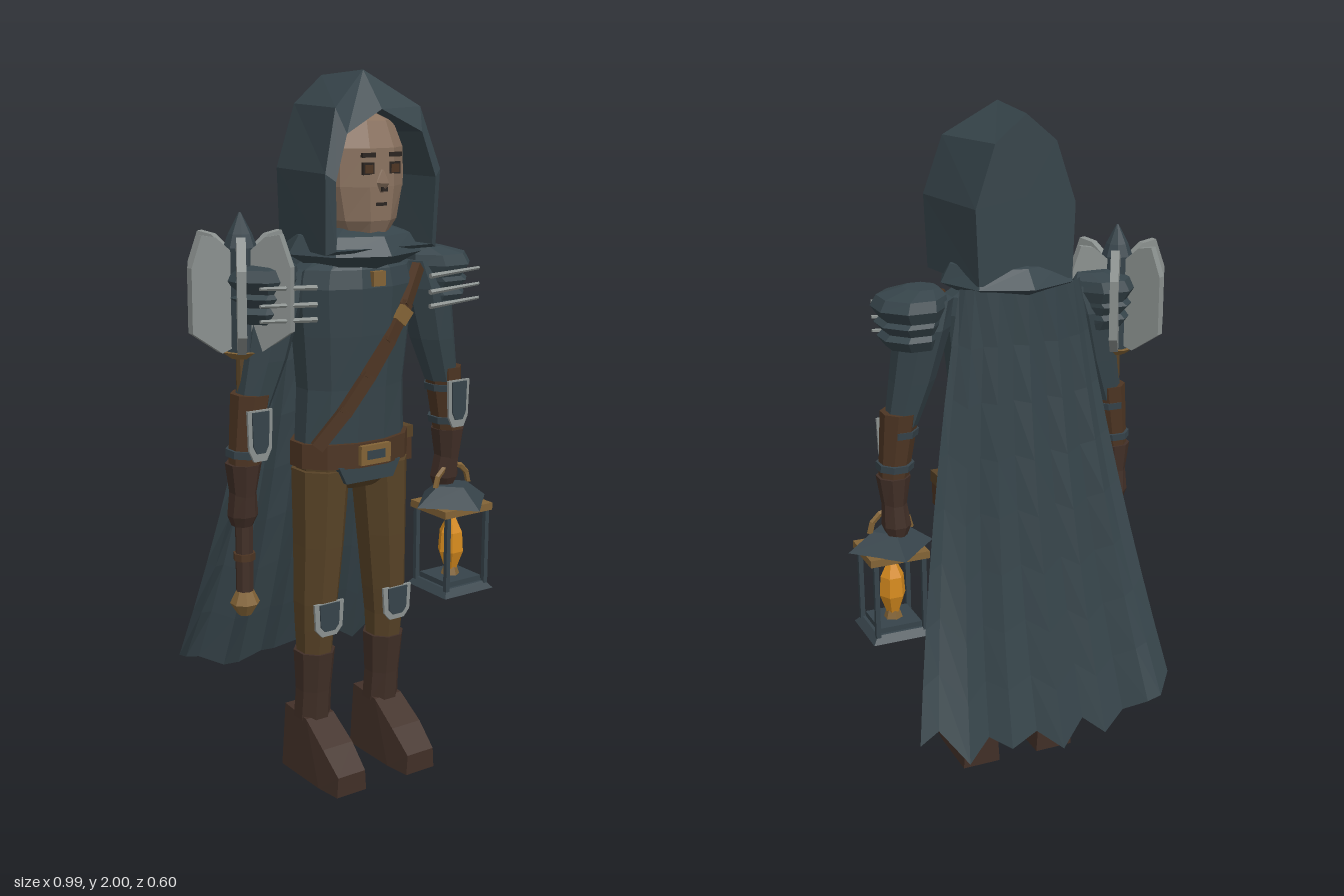
import * as THREE from 'three';

const mat = (name, color, side = THREE.FrontSide) => {
  const m = new THREE.MeshStandardMaterial({ color, side });
  m.name = name;
  return m;
};

export function createModel() {
  const root = new THREE.Group();
  const cloth = mat('slate cloth', 0x36444a, THREE.DoubleSide);
  const iron = mat('dark iron', 0x36434a);
  const trousers = mat('olive trousers', 0x574226);
  const boot = mat('boot leather', 0x412f27);
  const leather = mat('glove leather', 0x4d3523);
  const brass = mat('brass', 0x826336);
  const skin = mat('skin', 0x8a725f);
  const steel = mat('steel', 0x8b918f);
  const glow = mat('amber flame', 0xd58a1e);
  const dark = mat('dark features', 0x2a2420);

  // Faceted mesh: unshared vertices give flat normals
  const add = (name, geo, material, parent = root) => {
    const g = geo.index ? geo.toNonIndexed() : geo;
    g.computeVertexNormals();
    const mesh = new THREE.Mesh(g, material);
    mesh.name = name;
    parent.add(mesh);
    return mesh;
  };
  const box = (name, w, h, d, x, y, z, m, parent) =>
    add(name, new THREE.BoxGeometry(w, h, d).translate(x, y, z), m, parent);
  const cyl = (name, rt, rb, h, n, x, y, z, m, parent) =>
    add(name, new THREE.CylinderGeometry(rt, rb, h, n).translate(x, y, z), m, parent);
  const outline = (points) => new THREE.Shape(points.map((p) => new THREE.Vector2(...p)));

  // Closed skin over point rings, counter-clockwise as seen from the last ring
  const loft = (rings) => {
    const n = rings[0].length, pos = [];
    const tri = (...p) => p.forEach((q) => pos.push(...q));
    const mid = (r) => [0, 1, 2].map((k) => r.reduce((s, p) => s + p[k], 0) / n);
    const first = rings[0], last = rings[rings.length - 1];
    for (let i = 0; i < n; i++) {
      const j = (i + 1) % n;
      for (let r = 0; r < rings.length - 1; r++) {
        const a = rings[r], b = rings[r + 1];
        tri(a[i], a[j], b[j]);
        tri(a[i], b[j], b[i]);
      }
      tri(mid(first), first[j], first[i]);
      tri(mid(last), last[i], last[j]);
    }
    return new THREE.BufferGeometry().setAttribute('position', new THREE.Float32BufferAttribute(pos, 3));
  };
  // Limb or trunk from rows of [y, centreX, centreZ, radiusX, radiusZ], bottom to top
  const body = (name, rows, m, n = 8, parent = root, turn = 0.5) =>
    add(name, loft(rows.map(([y, cx, cz, rx, rz]) => Array.from({ length: n }, (_, i) => {
      const a = ((i + turn) / n) * Math.PI * 2;
      return [cx + rx * Math.sin(a), y, cz + rz * Math.cos(a)];
    }))), m, parent);

  // Forward-facing shield plate with a steel rim around sides and bottom
  const plate = (name, w, h, x, y, z) => {
    for (const [s, dz, m] of [[1, 0, steel], [0.68, 0.004, iron]]) {
      const a = w * s / 2, b = h * s / 2, top = h * (s === 1 ? 0.5 : 0.47);
      const shape = outline([[-a * 0.5, -b], [a * 0.5, -b], [a * 0.9, -b * 0.55], [a, top], [-a, top], [-a * 0.9, -b * 0.55]]);
      add(name + (s === 1 ? 'Rim' : ''),
        new THREE.ExtrudeGeometry(shape, { depth: 0.008, bevelEnabled: false }).translate(x, y, z + dz), m);
    }
  };

  // Tunic, collar, hips and belt
  body('tunic', [[0.93, 0, 0.11, 0.17, 0.1], [1.0, 0, 0.11, 0.175, 0.105], [1.15, 0, 0.112, 0.168, 0.112],
    [1.3, 0, 0.115, 0.183, 0.122], [1.43, 0, 0.115, 0.195, 0.128], [1.48, 0, 0.115, 0.18, 0.118],
    [1.52, 0, 0.115, 0.11, 0.09]], cloth, 12);
  body('collar', [[1.47, 0, 0.11, 0.11, 0.1], [1.52, 0, 0.105, 0.2, 0.195], [1.57, 0, 0.11, 0.17, 0.155],
    [1.59, 0, 0.11, 0.1, 0.1]], cloth, 8, root, 0);
  body('hips', [[0.86, 0, 0.11, 0.1, 0.07], [0.89, 0, 0.11, 0.165, 0.095], [0.94, 0, 0.11, 0.175, 0.1]], trousers, 12);
  body('belt', [[0.93, 0, 0.11, 0.188, 0.118], [1.0, 0, 0.11, 0.188, 0.118]], leather, 12);
  const hemShape = outline([[-0.08, 0.885], [0.08, 0.885], [0.105, 0.935], [-0.105, 0.935]]);
  add('tunicHem', new THREE.ExtrudeGeometry(hemShape, { depth: 0.03, bevelEnabled: false }).translate(0, 0, 0.18), cloth);
  box('buckle', 0.1, 0.055, 0.02, 0, 0.967, 0.228, brass);
  box('buckleCentre', 0.06, 0.025, 0.008, 0, 0.967, 0.236, iron);
  box('beltPouch', 0.07, 0.09, 0.08, 0.215, 0.925, 0.035, leather);
  box('pouchFlap', 0.076, 0.035, 0.086, 0.215, 0.965, 0.035, trousers);
  box('neckClasp', 0.04, 0.04, 0.02, 0, 1.455, 0.238, brass);

  // Chest strap following the curve of the tunic
  const strap = [0, 1, 2, 3, 4, 5].map((i) => {
    const x = 0.175 - i * 0.068;
    return new THREE.Vector3(x, 1.465 - i * 0.092, 0.116 + 0.122 * Math.sqrt(1 - (x / 0.215) ** 2));
  });
  for (let i = 0; i < 5; i++) {
    const len = strap[i].distanceTo(strap[i + 1]);
    const s = add('chestStrap', new THREE.BoxGeometry(0.024, 0.036, len + 0.012), leather);
    s.position.copy(strap[i]).lerp(strap[i + 1], 0.5);
    s.lookAt(strap[i + 1]);
  }
  const strapBuckle = add('strapBuckle', new THREE.BoxGeometry(0.045, 0.04, 0.02), brass);
  strapBuckle.position.set(0.088, 1.347, 0.236);
  strapBuckle.rotation.z = 0.9;

  // Head and face
  body('head', [[1.48, 0, 0.12, 0.06, 0.06], [1.555, 0, 0.14, 0.065, 0.09], [1.61, 0, 0.135, 0.105, 0.12],
    [1.7, 0, 0.13, 0.127, 0.13], [1.8, 0, 0.13, 0.127, 0.128], [1.87, 0, 0.13, 0.1, 0.1], [1.9, 0, 0.13, 0.05, 0.05]], skin, 10);
  for (const s of [-1, 1]) {
    box('ear', 0.02, 0.06, 0.04, s * 0.13, 1.72, 0.14, skin);
    box('eyeOutline', 0.036, 0.032, 0.008, s * 0.043, 1.748, 0.249, dark);
    box('eye', 0.026, 0.022, 0.008, s * 0.043, 1.747, 0.251, leather);
    box('brow', 0.042, 0.012, 0.01, s * 0.043, 1.783, 0.25, dark);
  }
  body('nose', [[1.685, 0, 0.25, 0.008, 0.008], [1.71, 0, 0.255, 0.018, 0.03], [1.745, 0, 0.248, 0.008, 0.008]], skin, 4, root, 0);
  box('nostrils', 0.018, 0.012, 0.008, 0, 1.694, 0.264, dark);
  box('mouth', 0.036, 0.009, 0.008, 0, 1.654, 0.248, dark);

  // Hood: arch sections from the flat back, over the lip and into the cavity
  const arch = (half) => [...half, ...half.slice(0, -1).reverse().map(([x, y, z]) => [-x, y, z])];
  add('hood', loft([
    arch([[0.14, 1.53, -0.03], [0.148, 1.74, -0.03], [0.09, 1.91, -0.03], [0, 1.985, -0.03]]),
    arch([[0.182, 1.53, 0.255], [0.188, 1.74, 0.262], [0.138, 1.905, 0.235], [0, 2.0, 0.165]]),
    arch([[0.158, 1.54, 0.27], [0.163, 1.72, 0.275], [0.122, 1.84, 0.265], [0, 1.9, 0.25]]),
    arch([[0.148, 1.54, 0.1], [0.154, 1.72, 0.1], [0.11, 1.835, 0.1], [0, 1.895, 0.1]]),
  ]), cloth);

  // Pleated cape: columns of [x, y, z] at the ragged hem
  const hem = [[-0.4, 0.32, -0.19], [-0.345, 0.28, -0.25], [-0.3, 0.27, -0.252], [-0.235, 0.24, -0.215],
    [-0.15, 0.21, -0.268], [-0.095, 0.25, -0.225], [0, 0.21, -0.3], [0.06, 0.25, -0.24], [0.15, 0.23, -0.272],
    [0.2, 0.25, -0.215], [0.275, 0.2, -0.255], [0.35, 0.3, -0.205], [0.41, 0.27, -0.215]];
  const ROWS = 8, COLS = hem.length - 1;
  const cape = new THREE.PlaneGeometry(1, 1, COLS, ROWS);
  for (let r = 0; r <= ROWS; r++) {
    hem.forEach(([x, y, z], c) => {
      const t = r / ROWS, a = (c / COLS - 0.5) * 2;
      const topX = 0.185 * Math.sin(a * 1.4), topZ = 0.02 - 0.065 * Math.cos(a * 1.4);
      const pleat = (c % 2 ? 0.012 : -0.006) * Math.sin(Math.PI * t);
      cape.attributes.position.setXYZ(r * (COLS + 1) + c, topX + (x - topX) * t, 1.52 + (y - 1.52) * t,
        topZ + (z - topZ) * t ** 1.9 + pleat);
    });
  }
  add('cape', cape, cloth);

  for (const s of [-1, 1]) {
    const side = s > 0 ? 'left' : 'right';
    const limb = (name, rows, m, n) => body(side + name, rows.map(([y, x, ...r]) => [y, s * x, ...r]), m, n);

    // Legs and boots
    limb('Trouser', [[0.36, 0.123, 0.112, 0.05, 0.056], [0.45, 0.123, 0.113, 0.055, 0.066], [0.53, 0.12, 0.115, 0.062, 0.073],
      [0.7, 0.11, 0.115, 0.071, 0.082], [0.92, 0.1, 0.112, 0.083, 0.09]], trousers);
    plate(side + 'KneePad', 0.1, 0.1, s * 0.12, 0.49, 0.176);
    limb('BootShaft', [[0.17, 0.123, 0.1, 0.054, 0.054], [0.26, 0.123, 0.107, 0.052, 0.054], [0.38, 0.123, 0.112, 0.06, 0.065]], boot);
    const sole = outline([[0.03, 0], [0.22, 0], [0.3, 0], [0.3, 0.06], [0.23, 0.12], [0.14, 0.18], [0.03, 0.19]]);
    const foot = new THREE.ExtrudeGeometry(sole, { depth: 0.12, bevelEnabled: false }).rotateY(-Math.PI / 2).translate(0.06, 0, 0);
    const fp = foot.attributes.position;
    for (let i = 0; i < fp.count; i++) {
      const toe = Math.max(0, fp.getZ(i) - 0.22) * 2;
      fp.setX(i, s * 0.123 + fp.getX(i) * (1 - fp.getY(i) * 1.1 - toe));
    }
    add(side + 'Boot', foot, boot);

    // Sleeves, bracers and gloves
    limb('Sleeve', [[1.12, 0.325, 0.115, 0.048, 0.052], [1.25, 0.288, 0.115, 0.066, 0.07], [1.4, 0.255, 0.112, 0.08, 0.085],
      [1.48, 0.225, 0.11, 0.06, 0.07]], cloth);
    limb('Bracer', [[0.95, 0.354, 0.115, 0.042, 0.046], [1.16, 0.328, 0.115, 0.056, 0.06]], leather);
    for (const y of [1.0, 1.1]) {
      limb('BracerBand', [[y - 0.01, 0.348 - (y - 1) * 0.16, 0.115, 0.054, 0.058],
        [y + 0.01, 0.346 - (y - 1) * 0.16, 0.115, 0.055, 0.06]], iron);
    }
    plate(side + 'BracerPlate', 0.078, 0.14, s * 0.34, 1.055, 0.172);
    limb('GloveCuff', [[0.88, 0.355, 0.11, 0.035, 0.042], [0.97, 0.354, 0.113, 0.05, 0.053]], boot);
    limb('Hand', [[0.79, 0.352, 0.1, 0.03, 0.03], [0.82, 0.352, 0.103, 0.043, 0.042], [0.89, 0.355, 0.11, 0.036, 0.042]], boot);

    // Layered pauldrons with three claw rods in front
    limb('Pauldron', [[1.35, 0.288, 0.105, 0.075, 0.08], [1.38, 0.298, 0.105, 0.088, 0.1], [1.395, 0.29, 0.105, 0.08, 0.09],
      [1.42, 0.298, 0.105, 0.096, 0.108], [1.432, 0.288, 0.105, 0.09, 0.1], [1.465, 0.295, 0.105, 0.107, 0.118],
      [1.495, 0.288, 0.105, 0.096, 0.105], [1.515, 0.26, 0.105, 0.05, 0.055]], cloth);
    for (const y of [1.365, 1.405, 1.45]) {
      const rod = add(side + 'ClawRod', new THREE.CylinderGeometry(0.005, 0.008, 0.175, 5), steel);
      rod.rotation.z = -s * (Math.PI / 2 - 0.06);
      rod.position.set(s * 0.278, y, 0.225);
    }
  }

  // Flanged mace in the right hand
  const mace = new THREE.Group();
  mace.name = 'mace';
  mace.position.set(-0.347, 0, 0.1);
  root.add(mace);
  cyl('maceShaft', 0.016, 0.016, 0.7, 8, 0, 0.95, 0, trousers, mace);
  cyl('maceGrip', 0.025, 0.025, 0.2, 8, 0, 0.7, 0, boot, mace);
  cyl('gripBand', 0.031, 0.031, 0.02, 8, 0, 0.7, 0, leather, mace);
  body('pommel', [[0.53, 0, 0, 0.02, 0.02], [0.565, 0, 0, 0.042, 0.042], [0.6, 0, 0, 0.025, 0.025]], brass, 8, mace);
  cyl('maceCollar', 0.058, 0.03, 0.02, 8, 0, 1.265, 0, brass, mace);
  cyl('maceCore', 0.042, 0.042, 0.28, 8, 0, 1.41, 0, iron, mace);
  body('maceSpike', [[1.55, 0, 0, 0.045, 0.045], [1.585, 0, 0, 0.032, 0.032], [1.64, 0, 0, 0.003, 0.003]], iron, 8, mace);
  const flange = outline([[0.02, 1.29], [0.065, 1.275], [0.153, 1.335], [0.153, 1.505], [0.122, 1.588], [0.08, 1.58], [0.02, 1.53]]);
  for (let i = 0; i < 6; i++) {
    const g = new THREE.ExtrudeGeometry(flange, { depth: 0.024, bevelEnabled: false }).translate(0, 0, -0.012);
    add('flange', g.rotateY(i * Math.PI / 3), steel, mace);
  }

  // Lantern in the left hand
  const lantern = new THREE.Group();
  lantern.name = 'lantern';
  lantern.position.set(0.362, 0, 0.13);
  root.add(lantern);
  add('lanternHandle', new THREE.TorusGeometry(0.063, 0.009, 5, 6, Math.PI).translate(0, 0.795, 0), brass, lantern);
  cyl('lanternRoof', 0.055, 0.13, 0.055, 4, 0, 0.77, 0, iron, lantern);
  box('lanternTopFrame', 0.18, 0.022, 0.165, 0, 0.732, 0, brass, lantern);
  add('lanternBase', new THREE.CylinderGeometry(0.105, 0.13, 0.022, 4).rotateY(Math.PI / 4).translate(0, 0.488, 0), iron, lantern);
  cyl('lanternUnderside', 0.085, 0.07, 0.012, 6, 0, 0.473, 0, brass, lantern);
  box('lanternFloor', 0.13, 0.02, 0.13, 0, 0.505, 0, iron, lantern);
  for (const x of [-0.073, 0.073]) for (const z of [-0.073, 0.073]) box('lanternPost', 0.014, 0.235, 0.014, x, 0.61, z, iron, lantern);
  cyl('flameHolder', 0.02, 0.03, 0.03, 6, 0, 0.525, 0, brass, lantern);
  body('flame', [[0.535, 0, 0, 0.02, 0.02], [0.59, 0, 0, 0.04, 0.04], [0.65, 0, 0, 0.036, 0.036], [0.71, 0, 0, 0.006, 0.006]], glow, 6, lantern);

  return root;
}
